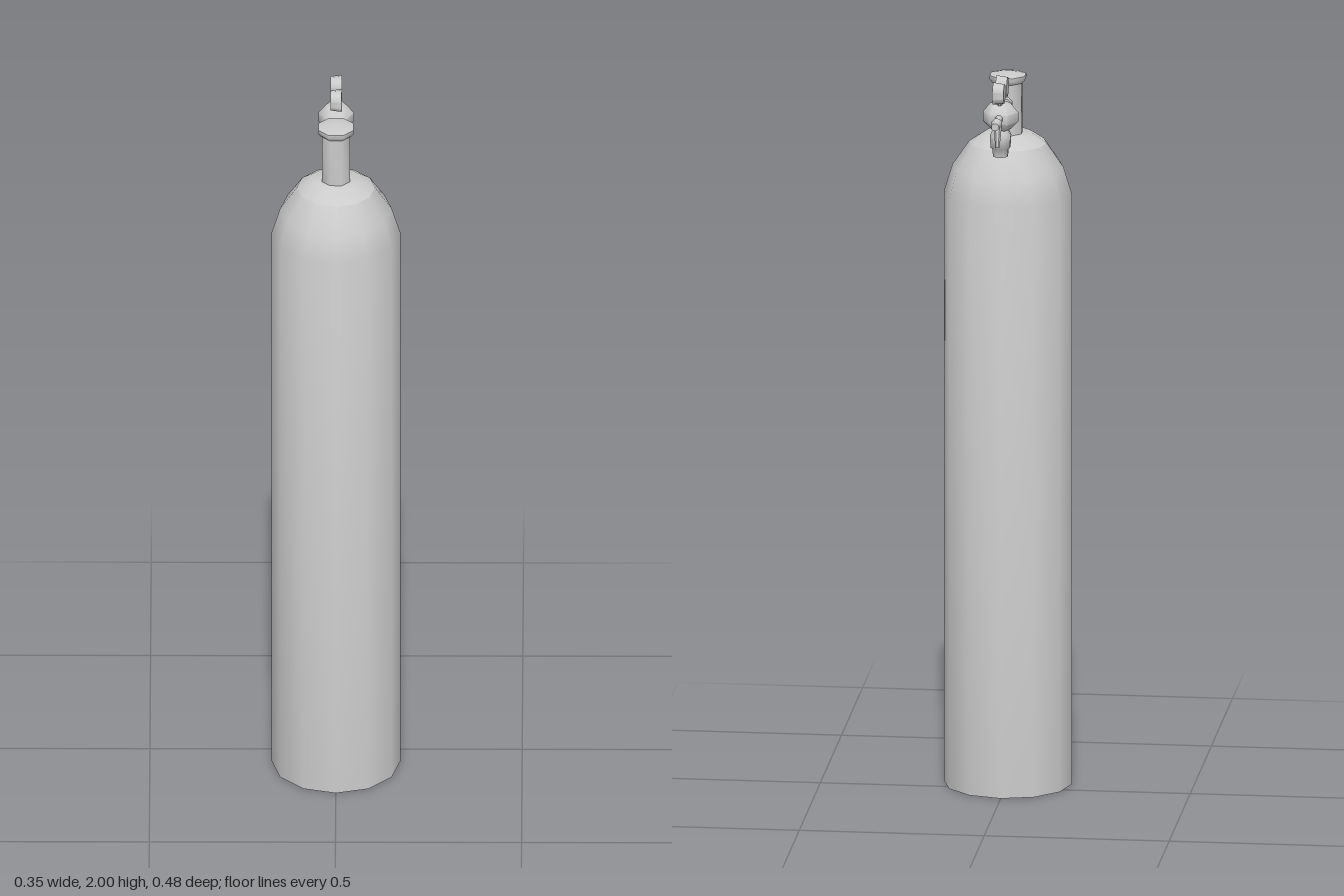
import * as THREE from 'three';
import { toCreasedNormals } from 'three/addons/utils/BufferGeometryUtils.js';

const grey = new THREE.MeshStandardMaterial({ color: 0xcccccc });
const UP = new THREE.Vector3(0, 1, 0);

function mesh(name, geometry, crease = 1.1) {
  const m = new THREE.Mesh(toCreasedNormals(geometry, crease), grey);
  m.name = name;
  return m;
}

// Turned part: profile of [radius, height] from bottom to top
function turned(name, profile, sides, z, turn = 0, crease = 1.1) {
  const points = profile.map(([r, y]) => new THREE.Vector2(r, y));
  const m = mesh(name, new THREE.LatheGeometry(points, sides, turn), crease);
  m.position.z = z;
  return m;
}

// Straight, optionally tapered rod between two points
function rod(name, from, to, r0, r1 = r0, sides = 8) {
  const a = new THREE.Vector3(...from), b = new THREE.Vector3(...to);
  const dir = b.clone().sub(a);
  const g = new THREE.CylinderGeometry(r1, r0, dir.length(), sides);
  g.rotateY(Math.PI / sides);
  const m = mesh(name, g);
  m.quaternion.setFromUnitVectors(UP, dir.normalize());
  m.position.copy(a).add(b).multiplyScalar(0.5);
  return m;
}

export function createModel() {
  const model = new THREE.Group();
  model.name = 'gasCylinder';
  const tankZ = 0.064, bodyZ = -0.112, pipeY = 1.9;

  // Tank with rounded shoulder and collar
  model.add(turned('tank', [
    [0, 0], [0.173, 0], [0.173, 1.64], [0.15, 1.714], [0.105, 1.78],
  ], 12, tankZ));
  model.add(turned('collar', [[0.105, 1.78], [0.065, 1.807], [0, 1.807]], 12, tankZ));

  // Valve post with overhanging cap
  model.add(turned('valvePost', [[0.041, 1.8], [0.041, 1.955]], 8, tankZ, Math.PI / 8));
  model.add(turned('valveCap', [
    [0, 1.948], [0.044, 1.948], [0.051, 1.957], [0.051, 1.968], [0, 1.98],
  ], 8, tankZ, Math.PI / 8));

  const regulator = new THREE.Group();
  regulator.name = 'regulator';
  model.add(regulator);

  // Inlet pipe and coupling nut
  regulator.add(
    rod('inletPipe', [0, pipeY, 0.035], [0, pipeY, -0.09], 0.008),
    rod('couplingNut', [0, pipeY, 0.01], [0, pipeY, -0.013], 0.02),
  );

  // Bulbous regulator body with adjusting knob beneath
  regulator.add(turned('regulatorBody', [
    [0, 1.857], [0.026, 1.862], [0.048, 1.884], [0.048, 1.91], [0.028, 1.934], [0, 1.938],
  ], 6, bodyZ, Math.PI / 6));
  regulator.add(turned('adjustingKnob', [
    [0, 1.787], [0.021, 1.787], [0.023, 1.808], [0.028, 1.812], [0.03, 1.846], [0.02, 1.865],
  ], 8, bodyZ, Math.PI / 8));

  // Pair of pressure gauges on slanted stems
  for (const [name, side] of [['front', 1], ['rear', -1]]) {
    const z = bodyZ + side * 0.038;
    regulator.add(
      rod(name + 'GaugeStem', [0, 1.92, bodyZ + side * 0.012], [0, 1.96, z - side * 0.006], 0.007),
      rod(name + 'Gauge', [-0.015, 1.97, z], [0.015, 1.97, z], 0.027, 0.031, 10),
    );
  }

  // Outlet pipe, hose nozzle and shut-off lever
  regulator.add(
    rod('outletPipe', [0, pipeY, -0.14], [0, pipeY, -0.205], 0.011),
    rod('hoseNozzle', [0, pipeY, -0.2], [0, pipeY, -0.24], 0.015, 0.011),
    rod('shutOffLever', [0, 1.893, -0.172], [0, 1.83, -0.19], 0.011, 0.006, 6),
  );

  return model;
}
